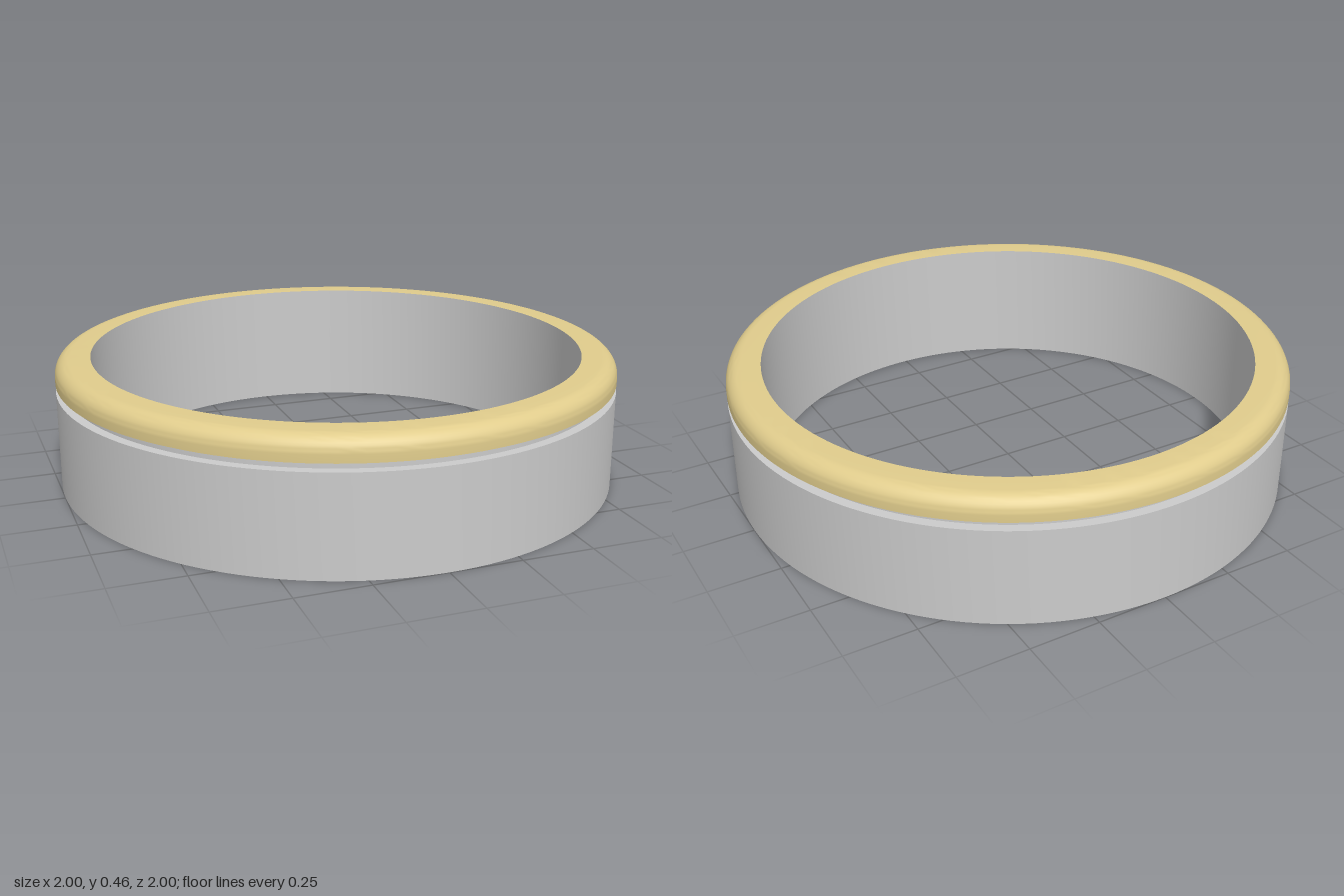
import * as THREE from 'three';
import { toCreasedNormals } from 'three/addons/utils/BufferGeometryUtils.js';

const INNER = 0.875, OUTER = 1, NECK = 0.967;
const BODY_TOP = 0.347, SEAM = 0.362, CAP_BOTTOM = 0.377, TOP = 0.457, FILLET = 0.055;

// Revolve a profile of [radius, height] pairs, keeping hard corners sharp
function ring(name, profile, color) {
  const points = profile.map(([r, y]) => new THREE.Vector2(r, y));
  const geometry = toCreasedNormals(new THREE.LatheGeometry(points, 144), 0.5);
  const mesh = new THREE.Mesh(geometry, new THREE.MeshStandardMaterial({ color, side: THREE.DoubleSide }));
  mesh.name = name;
  return mesh;
}

export function createModel() {
  const model = new THREE.Group();
  model.name = 'twoToneRing';

  // Grey band: straight outer wall, stepped neck and full-height bore
  model.add(ring('band', [
    [INNER, 0], [OUTER, 0], [OUTER, BODY_TOP], [NECK, BODY_TOP], [NECK, SEAM],
  ], 0xcccccc));
  model.add(ring('bore', [[INNER, TOP], [INNER, 0]], 0xcccccc));

  // Gold rim: short neck, overhanging lip with rounded upper edge, flat top
  const rim = [[NECK, SEAM], [NECK, CAP_BOTTOM], [OUTER, CAP_BOTTOM]];
  for (let i = 0; i <= 10; i++) {
    const a = (i / 10) * Math.PI / 2;
    rim.push([OUTER - FILLET + FILLET * Math.cos(a), TOP - FILLET + FILLET * Math.sin(a)]);
  }
  rim.push([INNER, TOP]);
  model.add(ring('rim', rim, 0xe0cc8c));

  return model;
}
